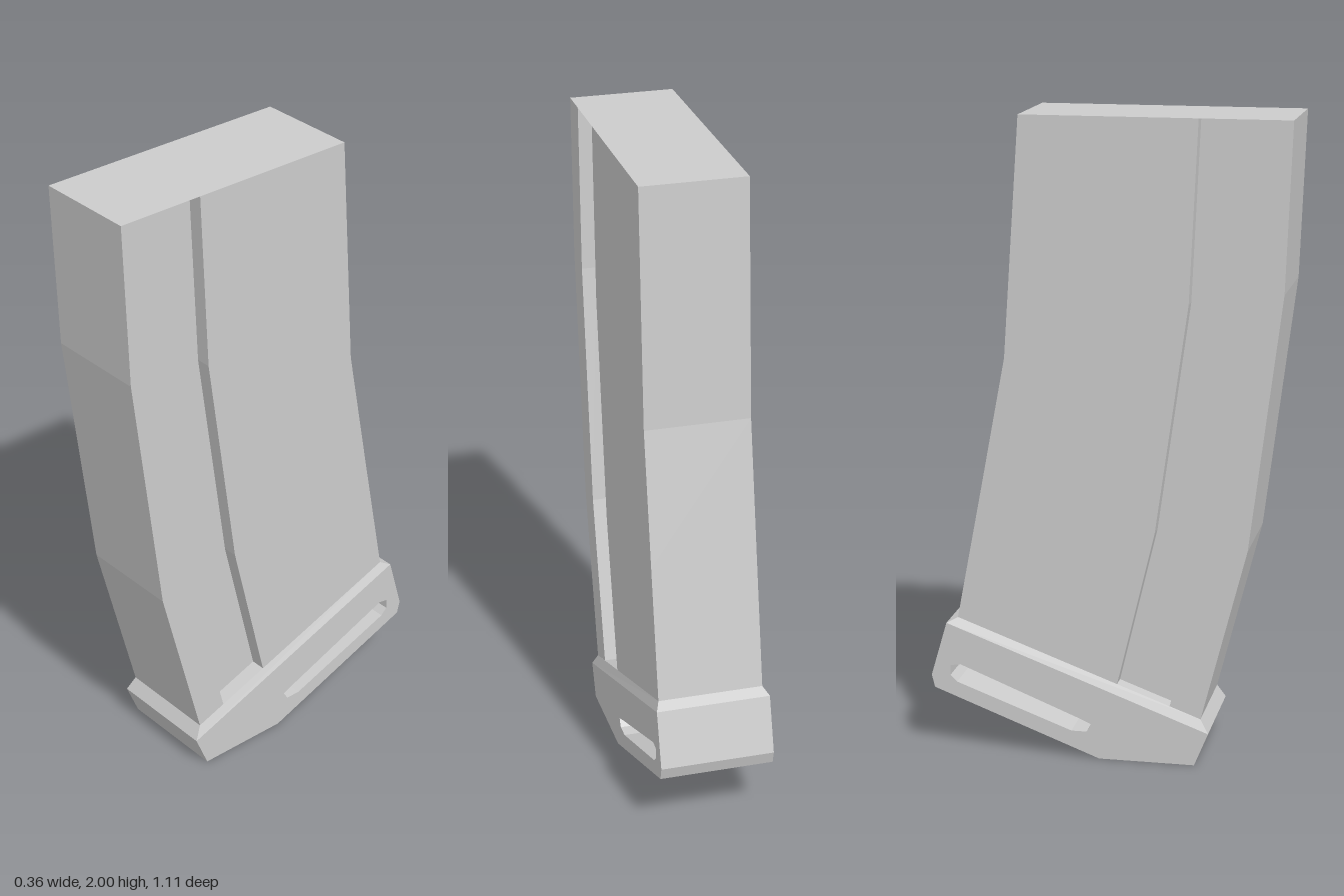
import * as THREE from 'three';

const W = 0.164; // half width of the body
const D = 0.116; // half width between the groove floors
const BW = 0.178; // half width of the base

const material = new THREE.MeshStandardMaterial({ color: 0xcccccc, flatShading: true, side: THREE.DoubleSide });

// Flat-shaded skin over rings of [x, y, z] points, bottom to top, counterclockwise from above
function loft(rings, capTop) {
  const pos = [];
  const quad = (a, b, c, d) => pos.push(...a, ...b, ...c, ...a, ...c, ...d);
  for (let r = 0; r < rings.length - 1; r++) {
    const lo = rings[r], up = rings[r + 1], n = lo.length;
    for (let i = 0; i < n; i++) {
      const j = (i + 1) % n;
      quad(lo[i], lo[j], up[j], up[i]);
    }
  }
  if (capTop) quad(...capTop);
  const geometry = new THREE.BufferGeometry();
  geometry.setAttribute('position', new THREE.Float32BufferAttribute(pos, 3));
  geometry.computeVertexNormals();
  return geometry;
}

// Rectangle spanning from a front [z, y] to a back [z, y]
const rect = (w, [fz, fy], [bz, by]) => [[-w, fy, fz], [w, fy, fz], [w, by, bz], [-w, by, bz]];

function named(geometry, name) {
  const mesh = new THREE.Mesh(geometry, material);
  mesh.name = name;
  return mesh;
}

export function createModel() {
  const group = new THREE.Group();
  group.name = 'curvedMagazine';

  // Curved edges as [z, y], bottom to top
  const front = [[0.297, 0.147], [0.437, 0.693], [0.537, 1.485], [0.557, 2]];
  const grooveFront = [[0.2, 0.183], [0.336, 0.71], [0.437, 1.478], [0.457, 2]];
  const grooveBack = [[0.034, 0.243], [0.151, 0.735], [0.251, 1.445], [0.277, 2]];
  const back = [[-0.472, 0.43], [-0.393, 0.845], [-0.315, 1.262], [-0.266, 2]];

  // Body with a groove down each side, closed by a flat top
  const rings = front.map((f, i) => {
    const a = grooveFront[i], b = grooveBack[i], k = back[i];
    const half = [[W, f], [W, a], [D, a], [D, b], [W, b], [W, k]];
    const mirrored = half.map(([x, p]) => [-x, p]).reverse();
    return [...half, ...mirrored].map(([x, [z, y]]) => [x, y, z]);
  });
  group.add(named(loft(rings, rect(W, front[3], back[3])), 'body'));

  // Base plate with a long slot through it
  const vectors = (points) => points.map(([z, y]) => new THREE.Vector2(z, y));
  const baseFront = [0.323, 0.105], baseBack = [-0.506, 0.413];
  const shape = new THREE.Shape(vectors([
    baseFront, baseBack, [-0.556, 0.24], [-0.546, 0.2], [-0.02, 0], [0.28, 0],
  ]));
  shape.holes.push(new THREE.Path(vectors([
    [-0.093, 0.132], [-0.463, 0.28], [-0.495, 0.275], [-0.495, 0.243],
    [-0.474, 0.222], [-0.108, 0.086], [-0.06, 0.086], [-0.045, 0.111],
  ])));
  const plate = new THREE.ExtrudeGeometry(shape, { depth: 2 * BW, bevelEnabled: false });
  plate.rotateY(-Math.PI / 2).translate(BW, 0, 0);
  group.add(named(plate, 'basePlate'));

  // Sloped rim from the base plate up to the body
  const rimTop = rect(W, front[0], back[0]);
  group.add(named(loft([rect(BW, baseFront, baseBack), rimTop], rimTop), 'baseRim'));

  return group;
}
